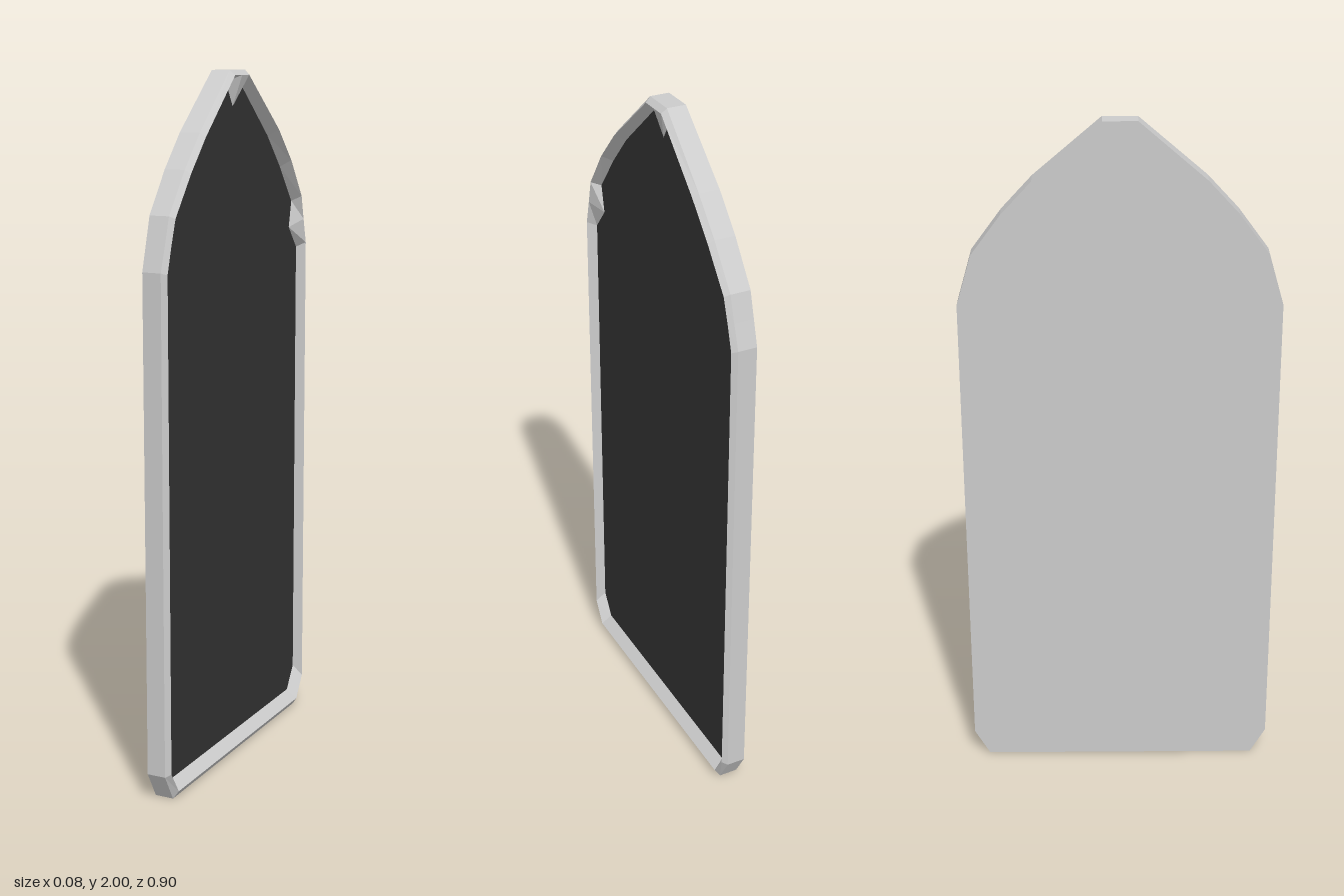
import * as THREE from 'three';

// Half outline, bottom corner up to the apex: [half width, height] of the
// outer wall, the raised rim and the inner panel edge, plus wall and rim depth.
const STATIONS = [
  { wall: [0.405, 0], rim: [0.398, 0.022], panel: [0.39, 0.05], wx: 0.015, rx: 0.03 },
  { wall: [0.45, 0.08], rim: [0.44, 0.088], panel: [0.434, 0.117], wx: 0.015, rx: 0.03 },
  { wall: [0.45, 1.485], rim: [0.44, 1.48], panel: [0.434, 1.466], wx: 0.015, rx: 0.03 },
  { wall: [0.429, 1.557], rim: [0.42, 1.553], panel: [0.38, 1.53], wx: 0.017, rx: 0.031 }, // side cusp
  { wall: [0.408, 1.63], rim: [0.4, 1.623], panel: [0.397, 1.608], wx: 0.018, rx: 0.033 },
  { wall: [0.323, 1.745], rim: [0.317, 1.735], panel: [0.314, 1.715], wx: 0.02, rx: 0.036 },
  { wall: [0.237, 1.838], rim: [0.231, 1.827], panel: [0.227, 1.81], wx: 0.02, rx: 0.036 },
  { wall: [0.048, 2], rim: [0.044, 1.986], panel: [0.042, 1.968], wx: 0.015, rx: 0.03 },
  { wall: [0, 2], rim: [0, 1.986], panel: [0, 1.9], wx: 0.015, rx: 0.03 } // top cusp
];
const BACK_X = -0.04;
const PANEL_X = 0;

// Closed ring, counter-clockwise seen from +x
function ring(key, depth) {
  const half = STATIONS.map(s => [depth(s), s[key][1], -s[key][0]]);
  const mirrored = half.slice(0, -1).reverse().map(([x, y, z]) => [x, y, -z]);
  return [...half, ...mirrored];
}

// Quads between two rings, from the back one to the front one
function band(a, b) {
  const out = [];
  a.forEach((p, i) => {
    const j = (i + 1) % a.length;
    out.push(p, a[j], b[j], p, b[j], b[i]);
  });
  return out;
}

// Flat cap as a fan around a central point
function cap(r, flip) {
  const centre = [r[0][0], 0.9, 0];
  return r.flatMap((p, i) => {
    const q = r[(i + 1) % r.length];
    return flip ? [centre, q, p] : [centre, p, q];
  });
}

function mesh(name, points, color) {
  const geometry = new THREE.BufferGeometry();
  geometry.setAttribute('position', new THREE.Float32BufferAttribute(points.flat(), 3));
  geometry.computeVertexNormals();
  const material = new THREE.MeshStandardMaterial({ color, flatShading: true });
  const m = new THREE.Mesh(geometry, material);
  m.name = name;
  return m;
}

export function createModel() {
  const group = new THREE.Group();
  group.name = 'archedWindow';

  const back = ring('wall', () => BACK_X);
  const wall = ring('wall', s => s.wx);
  const rim = ring('rim', s => s.rx);
  const inner = ring('panel', () => PANEL_X);

  // Frame: outer wall, bevel up to the rim, slope down to the panel
  group.add(mesh('frame', [...band(back, wall), ...band(wall, rim), ...band(rim, inner)], 0xcccccc));
  group.add(mesh('backPlate', cap(back, true), 0xcccccc));
  group.add(mesh('darkPanel', cap(inner, false), 0x333333));
  return group;
}
